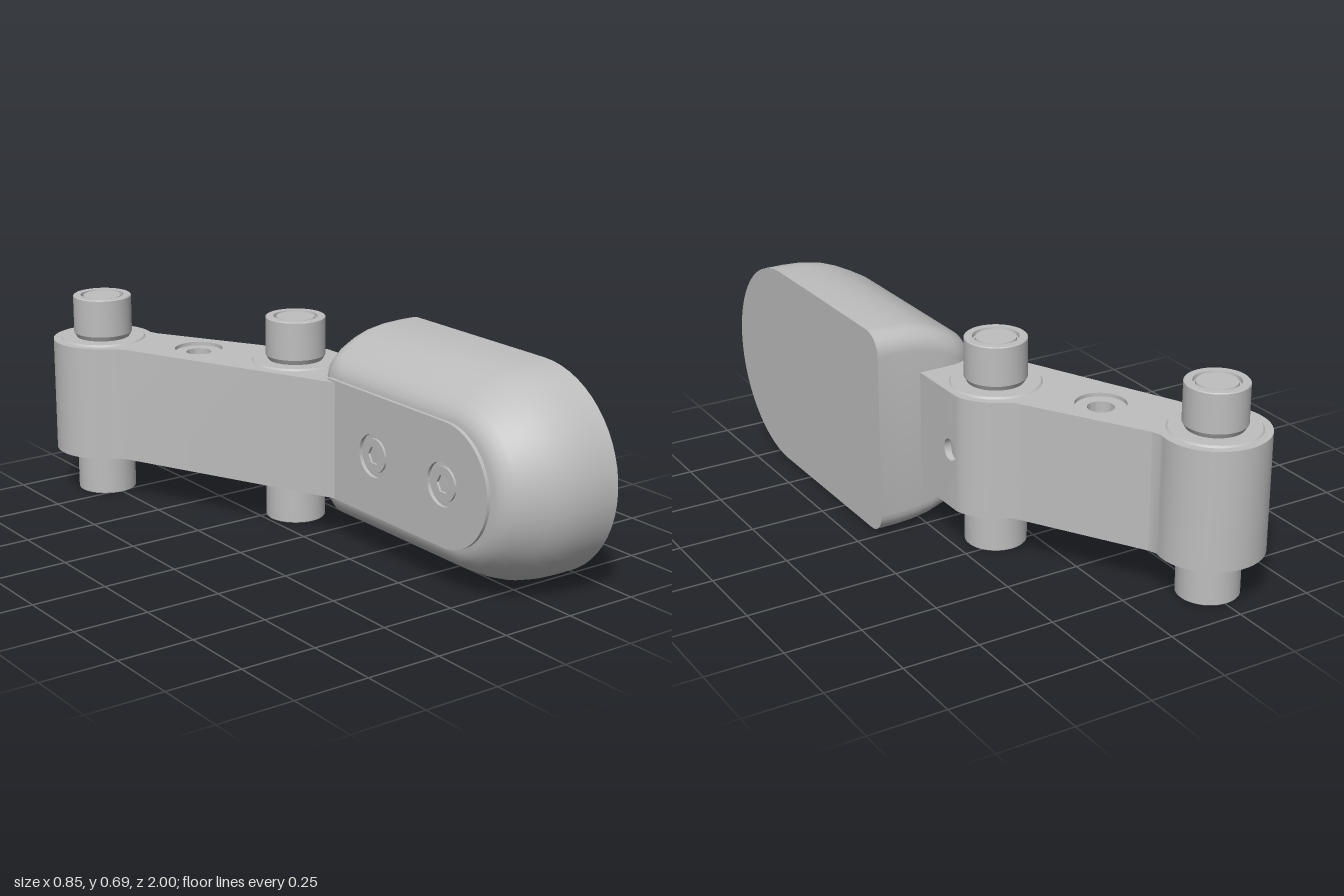
import * as THREE from 'three';
import { toCreasedNormals, mergeGeometries } from 'three/addons/utils/BufferGeometryUtils.js';

const steel = new THREE.MeshStandardMaterial({ color: 0xbebebe, side: THREE.DoubleSide });
steel.name = 'plainGrey';

const MID = 0.347, LOW = 0.153, HIGH = 0.541;      // arm heights
const BARRELS = [[0.11, -0.2], [-0.255, -0.83]];   // barrel axes (x, z)
const R = 0.17, HOLE = 0.036;

function add(group, name, geometry, x = 0, y = 0, z = 0) {
  const mesh = new THREE.Mesh(geometry, steel);
  mesh.name = name;
  mesh.position.set(x, y, z);
  group.add(mesh);
  return mesh;
}

function circleHole(shape, x, y, r) {
  shape.holes.push(new THREE.Path().absarc(x, y, r, 0, Math.PI * 2, true));
}

const lathe = (points, sides = 40) => toCreasedNormals(
  new THREE.LatheGeometry(points.map(p => new THREE.Vector2(...p)), sides), 0.5);

// Points on an arc in the plan, where v = -z, angles in degrees
function arc([x, z], from, to, n) {
  return Array.from({ length: n + 1 }, (_, i) => {
    const a = THREE.MathUtils.degToRad(from + (to - from) * i / n);
    return [x + R * Math.cos(a), -z + R * Math.sin(a)];
  });
}

// Link arm: plan outline with flat facets where the set screw holes sit
function armGeometry() {
  const [a, b] = BARRELS;
  const outline = [
    [0.055, -0.11], [0.15, -0.11], [0.276, 0], [0.276, 0.16],
    ...arc(a, 13.6, 68, 9), [0.153, 0.373], [0.135, 0.4], [-0.08, 0.76],
    ...arc(b, -13.6, 238, 42), [-0.315, 0.665], [-0.285, 0.632],
  ];
  const parts = [];

  // Top and bottom with the middle hole cut out
  const plan = new THREE.Shape(outline.map(p => new THREE.Vector2(...p)));
  circleHole(plan, -0.07, 0.51, 0.08);
  for (const y of [LOW, HIGH]) {
    const cap = new THREE.ShapeGeometry(plan, 24);
    if (y === LOW) {
      const ids = cap.index.array;
      for (let i = 0; i < ids.length; i += 3) [ids[i], ids[i + 1]] = [ids[i + 1], ids[i]];
    }
    parts.push(cap.rotateX(-Math.PI / 2).translate(0, y, 0));
  }

  // Wall panels following the outline
  outline.forEach((p, i) => {
    const q = outline[(i + 1) % outline.length];
    const dx = q[0] - p[0], dz = p[1] - q[1], len = Math.hypot(dx, dz);
    const panel = new THREE.Shape([[0, LOW], [len, LOW], [len, HIGH], [0, HIGH]]
      .map(c => new THREE.Vector2(...c)));
    const facet = BARRELS.some(([bx, bz]) => p[0] > bx + 0.15 && p[1] < -bz
      && q[1] > -bz && len < 0.1);
    if (facet) circleHole(panel, len / 2, MID, HOLE);
    parts.push(new THREE.ShapeGeometry(panel, 16)
      .rotateY(Math.atan2(-dz, dx)).translate(p[0], 0, -p[1]));
  });
  return toCreasedNormals(mergeGeometries(parts.map(g => g.toNonIndexed())), 0.5);
}

// Pad: D-shaped loops stacked along x, growing from the domed back to the flat face
function padLoop(x, inset, back) {
  const h = 0.34 - inset, c = 0.07, z0 = -0.02 + back, pts = [];
  const sweep = (cz, cy, r, from, to, n) => {
    for (let i = 0; i <= n; i++) {
      const t = (from + (to - from) * i / n) * Math.PI;
      pts.push([x, 0.35 + cy + r * Math.sin(t), cz + r * Math.cos(t)]);
    }
  };
  sweep(0.66, 0, h, -0.5, 0.5, 28);
  sweep(z0 + c, h - c, c, 0.5, 1, 6);
  sweep(z0 + c, c - h, c, 1, 1.5, 6);
  return pts;
}

function padGeometry() {
  const loops = [
    [0.062, 0.138, 0.09], [0.067, 0.12, 0.06], [0.08, 0.1, 0.036], [0.1, 0.08, 0.018],
    [0.145, 0.054, 0.002], [0.19, 0.031, 0], [0.24, 0.013, 0], [0.3, 0.003, 0],
    [0.36, 0, 0], [0.423, 0, 0],
  ].map(l => padLoop(...l));
  const n = loops[0].length, pos = loops.flat(2), idx = [];
  for (let k = 0; k < loops.length - 1; k++) {
    for (let i = 0; i < n; i++) {
      const a = k * n + i, b = k * n + (i + 1) % n;
      idx.push(a, a + n, b, b, a + n, b + n);
    }
  }
  // Close both ends
  const first = loops.length * n, last = (loops.length - 1) * n;
  pos.push(0.062, 0.35, 0.45, 0.423, 0.35, 0.45);
  for (let i = 0; i < n; i++) {
    const j = (i + 1) % n;
    idx.push(first, i, j, first + 1, last + j, last + i);
  }
  const g = new THREE.BufferGeometry();
  g.setAttribute('position', new THREE.Float32BufferAttribute(pos, 3));
  g.setIndex(idx);
  return toCreasedNormals(g, 0.65);
}

// Turns a flat drawing in (z, y) into a plate whose outer face looks to -x
const sidePlate = (shape, depth) => new THREE.ExtrudeGeometry(shape,
  { depth, bevelEnabled: false, curveSegments: 24 }).rotateY(-Math.PI / 2);

export function createModel() {
  const model = new THREE.Group();
  model.name = 'pivotArmWithPad';

  add(model, 'linkArm', armGeometry());
  add(model, 'pad', padGeometry());

  // Counterbored through hole in the middle of the arm
  add(model, 'middleHole', lathe([[0.08, LOW], [0.08, LOW + 0.012], [0.042, LOW + 0.012],
    [0.042, HIGH - 0.012], [0.08, HIGH - 0.012], [0.08, HIGH]]), -0.07, 0, -0.51);

  // Pins, washers and set screw holes at both barrels
  const half = [[0, 0.004], [0.063, 0.004], [0.065, 0.014], [0.071, 0.014], [0.073, 0.002],
    [0.096, 0.002], [0.099, 0.005], [0.099, 0.13], [0.09, 0.146], [0.09, 0.3]];
  const pinProfile = [...half, ...half.map(([r, y]) => [r, 0.693 - y]).reverse()];
  BARRELS.forEach(([x, z], i) => {
    const side = ['front', 'rear'][i];
    add(model, side + 'Pin', lathe(pinProfile), x, 0, z);
    add(model, side + 'Washer', lathe([[0.09, LOW - 0.006], [0.14, LOW - 0.006],
      [0.145, LOW], [0.145, HIGH], [0.14, HIGH + 0.006], [0.09, HIGH + 0.006]]), x, 0, z);
    add(model, side + 'SetScrewHole', new THREE.CylinderGeometry(HOLE, HOLE, 0.08, 20, 1, true)
      .rotateZ(Math.PI / 2), x + 0.125, MID, z);
  });

  // Mounting plate on the pad, with two countersunk socket screws
  const plate = new THREE.Shape();
  plate.moveTo(0.06, 0.152);
  plate.lineTo(0.645, 0.152);
  plate.absarc(0.645, 0.35, 0.198, -Math.PI / 2, Math.PI / 2, false);
  plate.lineTo(0.06, 0.548);
  const screws = [0.3, 0.637];
  screws.forEach(z => circleHole(plate, z, 0.35, 0.07));
  add(model, 'mountingPlate', toCreasedNormals(sidePlate(plate, 0.014), 0.5), 0.064);

  const head = new THREE.Shape().absarc(0, 0, 0.055, 0, Math.PI * 2, false);
  head.holes.push(new THREE.Path(Array.from({ length: 6 }, (_, i) =>
    new THREE.Vector2(0.03 * Math.cos(-i * Math.PI / 3), 0.03 * Math.sin(-i * Math.PI / 3)))));
  screws.forEach((z, i) =>
    add(model, 'padScrew' + (i + 1), toCreasedNormals(sidePlate(head, 0.009), 0.5), 0.063, 0.35, z));

  return model;
}
